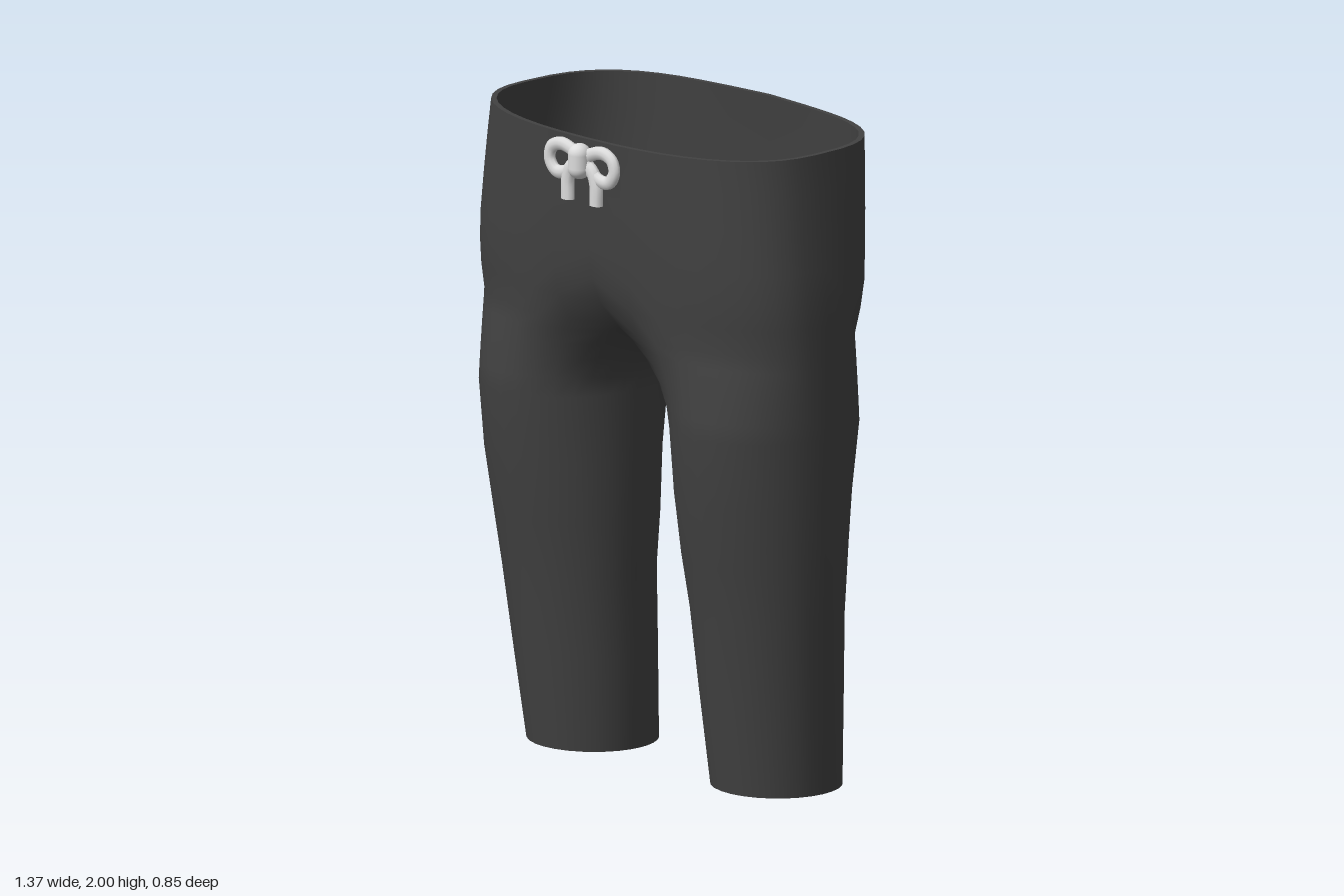
import * as THREE from 'three';
import { mergeVertices, mergeGeometries } from 'three/addons/utils/BufferGeometryUtils.js';
import { RoundedBoxGeometry } from 'three/addons/geometries/RoundedBoxGeometry.js';

const M = 22, K = 8;                // segments on the outer and inner side of a leg
const OUTER = Math.PI * 0.77;       // half angle of a leg covered by the outer side

// hips: y, half width, back z, front z, back squareness, front squareness, centre cleft at back and front
const HIPS = [
  [2.0, 0.635, -0.39, 0.374, 3.0, 2.4, -0.016, 0], [1.9, 0.648, -0.395, 0.367, 2.8, 2.5, -0.018, 0],
  [1.78, 0.662, -0.4, 0.361, 2.6, 2.6, -0.02, 0], [1.65, 0.677, -0.404, 0.353, 2.4, 2.7, -0.02, 0],
  [1.56, 0.685, -0.403, 0.347, 2.3, 2.7, -0.01, 0.006], [1.48, 0.686, -0.392, 0.342, 2.2, 2.65, 0.025, 0.035],
  [1.4, 0.686, -0.367, 0.337, 2.1, 2.5, 0.09, 0.1],
];
// legs: y, inner x, outer x, back z, front z
const LEGS = [
  [1.13, 0.14, 0.683, -0.283, 0.317], [0.92, 0.143, 0.677, -0.25, 0.292], [0.72, 0.148, 0.665, -0.235, 0.255],
  [0.55, 0.165, 0.65, -0.226, 0.225], [0.3, 0.176, 0.63, -0.233, 0.19], [0, 0.195, 0.6, -0.245, 0.15],
];

const rounded = (v, n) => Math.sign(v) * Math.abs(v) ** (2 / n);

// half loop of the hips, from front centre round the +x side to back centre
function hipRow([y, w, back, front, nBack, nFront, cleftBack, cleftFront], inset = 0) {
  const row = [], mid = 0.015;
  for (let j = 0; j <= M; j++) {
    const a = Math.PI * (0.5 - j / M), sin = Math.sin(a);
    const [n, reach, cleft] = sin > 0 ? [nFront, front - mid, cleftFront] : [nBack, mid - back, cleftBack];
    const x = j % M ? (w - inset) * rounded(Math.cos(a), n) : 0;
    row.push([x, y, mid + rounded(sin, n) * (reach - inset - cleft * Math.exp(-((x / 0.15) ** 2)))]);
  }
  return row;
}

const legAngle = (j) => j <= M ? OUTER * (1 - 2 * j / M) : -OUTER - (2 * Math.PI - 2 * OUTER) * (j - M) / K;

function legRow([y, x0, x1, back, front]) {
  const row = [];
  for (let j = 0; j <= M + K; j++) {
    const a = legAngle(j);
    row.push([(x0 + x1) / 2 + (x1 - x0) / 2 * Math.cos(a), y,
      (back + front) / 2 + (front - back) / 2 * Math.sin(a)]);
  }
  return row;
}

// lowest hip loop closed underneath by the crotch seam
function crotchRow() {
  const row = hipRow(HIPS[HIPS.length - 1]), zf = row[0][2], zb = row[M][2];
  for (let i = 1; i <= K; i++) {
    const c = Math.cos(Math.PI * i / K);
    row.push([0, 1.32 + 0.08 * c * c, (zf + zb) / 2 - c * (zf - zb) / 2]);
  }
  return row;
}

// flowing rows from the crotch seam into the leg
function blendRows(from, to, steps) {
  const rows = [];
  for (let i = 0; i < steps; i++) {
    const t = i / steps;
    rows.push(from.map((p, j) => {
      const k = (1 - Math.cos(legAngle(j))) / 2;
      const w = t + (Math.sin(t * Math.PI / 2) - t) * k;
      const h = t + (t ** 1.25 - t) * k;
      return [p[0] + (to[j][0] - p[0]) * w, p[1] + (to[j][1] - p[1]) * h, p[2] + (to[j][2] - p[2]) * w];
    }));
  }
  return rows;
}

function skin(rows, side) {
  const n = rows[0].length, index = [];
  for (let r = 0; r < rows.length - 1; r++) {
    for (let c = 0; c < n - 1; c++) {
      const a = r * n + c, b = a + n;
      if (side > 0) index.push(a, b, b + 1, a, b + 1, a + 1);
      else index.push(a, b + 1, b, a, a + 1, b + 1);
    }
  }
  const g = new THREE.BufferGeometry();
  g.setAttribute('position', new THREE.Float32BufferAttribute(rows.flat().flatMap(([x, y, z]) => [x * side, y, z]), 3));
  g.setIndex(index);
  return g;
}

function mirroredSkin(...grids) {
  const parts = grids.flatMap((rows) => [skin(rows, 1), skin(rows, -1)]);
  const g = mergeVertices(mergeGeometries(parts), 1e-4);
  g.computeVertexNormals();
  return g;
}

export function createModel() {
  const group = new THREE.Group();
  const cloth = new THREE.MeshStandardMaterial({ color: 0x424242, side: THREE.DoubleSide });
  cloth.name = 'charcoal cloth';
  const cord = new THREE.MeshStandardMaterial({ color: 0xdcdcdc });
  cord.name = 'pale cord';
  const add = (parent, name, geometry, material) => {
    const mesh = new THREE.Mesh(geometry, material);
    mesh.name = name;
    parent.add(mesh);
    return mesh;
  };

  // trousers: hips and both legs as one smooth skin
  const legRows = LEGS.map(legRow);
  add(group, 'trousers', mirroredSkin(HIPS.map((h) => hipRow(h)),
    [...blendRows(crotchRow(), legRows[0], 5), ...legRows]), cloth);

  // waist: flat rim and the thin facing inside it
  add(group, 'waistRim', mirroredSkin([hipRow(HIPS[0], 0.016), hipRow(HIPS[0])]), cloth);
  add(group, 'waistFacing', mirroredSkin([0, 1, 2, 3].map((i) => hipRow(HIPS[i], 0.016 - i * 0.004))), cloth);

  // drawstring bow, its cord slightly flattened against the cloth
  const bow = new THREE.Group();
  bow.name = 'drawstringBow';
  bow.position.z = 0.381;
  group.add(bow);
  const path = (pts, s, closed) => new THREE.CatmullRomCurve3(pts.map(([x, y]) => new THREE.Vector3(x * s, y, 0)), closed);
  const loop = [[0.02, 1.94], [0.06, 1.965], [0.1, 1.968], [0.132, 1.95], [0.139, 1.914], [0.113, 1.882], [0.065, 1.888]];
  const tail = [[0.015, 1.925], [0.048, 1.9], [0.061, 1.865], [0.061, 1.803]];
  for (const s of [1, -1]) {
    const name = s > 0 ? 'left' : 'right';
    const half = new THREE.Group();
    half.name = name + 'BowHalf';
    half.scale.z = 0.75;
    bow.add(half);
    add(half, name + 'Loop', new THREE.TubeGeometry(path(loop, s, true), 32, 0.021, 10, true), cord);
    add(half, name + 'Tail', new THREE.TubeGeometry(path(tail, s, false), 14, 0.024, 10), cord);
    const end = add(half, name + 'TailEnd', new THREE.CircleGeometry(0.024, 10), cord);
    end.rotation.x = Math.PI / 2;
    end.position.set(0.061 * s, 1.803, 0);
  }
  const knot = add(bow, 'knot', new RoundedBoxGeometry(0.07, 0.11, 0.07, 4, 0.034), cord);
  knot.position.set(0, 1.932, 0.01);
  return group;
}
